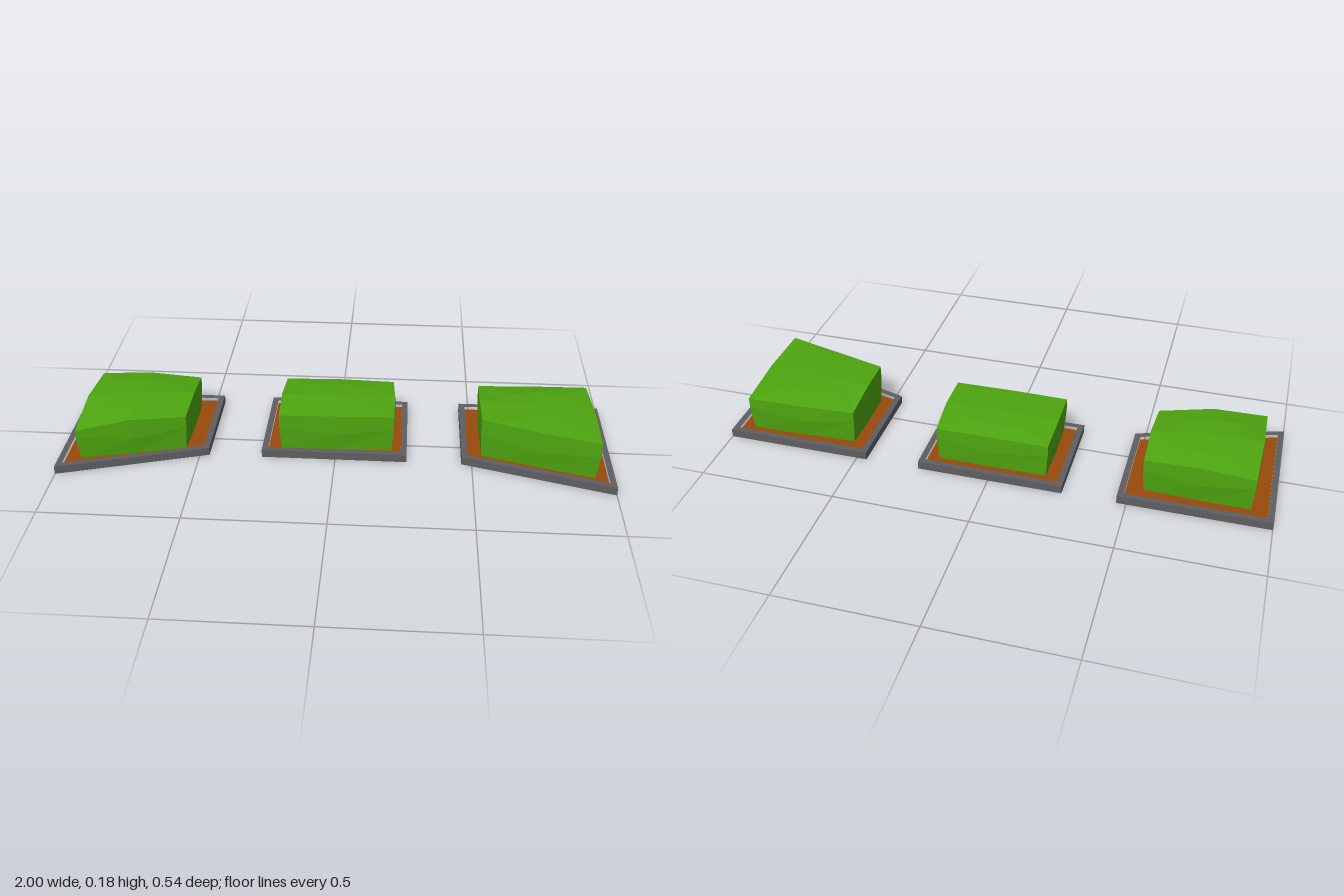
import * as THREE from 'three';

const stone = new THREE.MeshStandardMaterial({ name: 'grey stone', color: 0x5e5e62 });
const earth = new THREE.MeshStandardMaterial({ name: 'brown soil', color: 0x984a0c });
const leaf = new THREE.MeshStandardMaterial({ name: 'hedge green', color: 0x4ea510, flatShading: true });

// Outlines are [x, z] corners: back left, back right, front right, front left as seen from above.
// tops: hedge rim heights, corner then edge midpoint, in the same order; crown: heights of the inner ring and the peak.
const beds = [
  {
    name: 'rightBed',
    outline: [[-1, -0.27], [-0.465, -0.27], [-0.465, 0.11], [-1, 0.27]],
    hedge: [[-0.925, -0.21], [-0.54, -0.2], [-0.545, 0.1], [-0.93, 0.195]],
    tops: [0.15, 0.16, 0.15, 0.17, 0.155, 0.165, 0.138, 0.165],
    crown: [0.177, 0.181],
  },
  {
    name: 'middleBed',
    outline: [[-0.27, -0.27], [0.262, -0.27], [0.262, 0.11], [-0.27, 0.11]],
    hedge: [[-0.205, -0.215], [0.205, -0.215], [0.213, 0.068], [-0.207, 0.075]],
    tops: [0.15, 0.153, 0.15, 0.166, 0.165, 0.163, 0.16, 0.168],
    crown: [0.169, 0.17],
  },
  {
    name: 'leftBed',
    outline: [[0.462, -0.27], [1, -0.27], [1, 0.268], [0.462, 0.11]],
    hedge: [[0.528, -0.205], [0.937, -0.22], [0.94, 0.2], [0.528, 0.08]],
    tops: [0.15, 0.15, 0.15, 0.165, 0.167, 0.168, 0.175, 0.176],
    crown: [0.173, 0.173],
  },
];

// Moves every edge of a convex outline inwards by d
function inset(pts, d) {
  const n = pts.length;
  const lines = pts.map((p, i) => {
    const q = pts[(i + 1) % n];
    const len = Math.hypot(q[0] - p[0], q[1] - p[1]);
    const nx = -(q[1] - p[1]) / len, nz = (q[0] - p[0]) / len;
    return [nx, nz, nx * p[0] + nz * p[1] + d];
  });
  return lines.map((b, i) => {
    const a = lines[(i + n - 1) % n];
    const det = a[0] * b[1] - a[1] * b[0];
    return [(a[2] * b[1] - a[1] * b[2]) / det, (a[0] * b[2] - a[2] * b[0]) / det];
  });
}

// Upright slab from y0 to y1 over an outline, with an optional opening
function slab(name, material, pts, y0, y1, hole) {
  const flat = (list) => list.map(([x, z]) => new THREE.Vector2(x, -z));
  const shape = new THREE.Shape(flat(pts));
  if (hole) shape.holes.push(new THREE.Path(flat(hole)));
  const geometry = new THREE.ExtrudeGeometry(shape, { depth: y1 - y0, bevelEnabled: false });
  geometry.rotateX(-Math.PI / 2).translate(0, y0, 0);
  const mesh = new THREE.Mesh(geometry, material);
  mesh.name = name;
  return mesh;
}

// Faceted hedge block: side rings, a domed inner ring and a peak
function hedge({ hedge: corners, tops, crown }) {
  const cx = corners.reduce((s, p) => s + p[0], 0) / 4;
  const cz = corners.reduce((s, p) => s + p[1], 0) / 4;
  const rim = [];
  corners.forEach((p, i) => {
    const q = corners[(i + 1) % 4];
    rim.push(p, [(p[0] + q[0]) / 2, (p[1] + q[1]) / 2]);
  });
  // Scale about the centre; midpoints bulge a little more than corners
  const ring = (corner, middle, height) => rim.map(([x, z], i) => {
    const s = i % 2 ? middle : corner;
    return [cx + (x - cx) * s, height(i), cz + (z - cz) * s];
  });
  const rings = [
    ring(0.965, 0.98, () => 0.015),
    ring(1, 1.03, (i) => (i % 2 ? 0.085 : 0.11)),
    ring(1, 1.02, (i) => tops[i]),
    ring(0.5, 0.6, (i) => crown[0] * 0.75 + tops[i] * 0.25),
    ring(0, 0, () => crown[1]),
  ];
  const position = rings.flat(2);
  const index = [];
  for (let r = 0; r < rings.length - 1; r++) {
    for (let i = 0; i < 8; i++) {
      const a = r * 8 + i, b = r * 8 + ((i + 1) % 8);
      index.push(a, a + 8, b);
      if (r < rings.length - 2) index.push(b, a + 8, b + 8);
    }
  }
  const geometry = new THREE.BufferGeometry();
  geometry.setAttribute('position', new THREE.Float32BufferAttribute(position, 3));
  geometry.setIndex(index);
  geometry.computeVertexNormals();
  const mesh = new THREE.Mesh(geometry, leaf);
  mesh.name = 'hedge';
  return mesh;
}

export function createModel() {
  const model = new THREE.Group();
  model.name = 'hedgePlanters';
  for (const bed of beds) {
    const group = new THREE.Group();
    group.name = bed.name;
    const inner = inset(bed.outline, 0.022);
    group.add(
      slab('kerb', stone, bed.outline, 0, 0.03, inner),
      slab('base', stone, inner, 0, 0.01),
      slab('soil', earth, inner, 0.01, 0.018),
      hedge(bed),
    );
    model.add(group);
  }
  return model;
}
